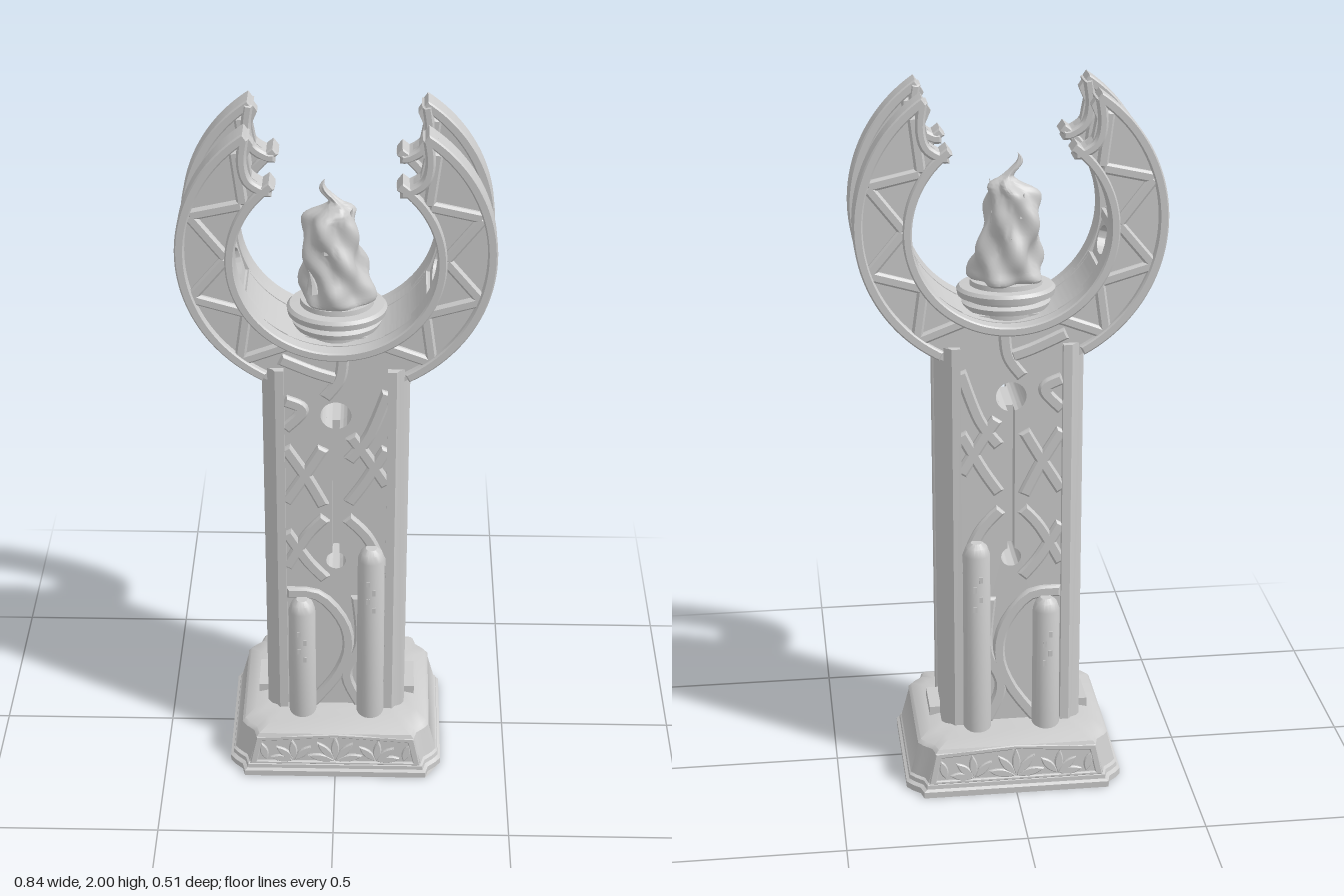
import * as THREE from 'three';
import { toCreasedNormals, mergeVertices } from 'three/addons/utils/BufferGeometryUtils.js';

const grey = new THREE.MeshStandardMaterial({ color: 0xcccccc, side: THREE.DoubleSide });
const rad = THREE.MathUtils.degToRad;
const V2 = (x, y) => new THREE.Vector2(x, y);

function add(parent, name, geo, x = 0, y = 0, z = 0) {
  const m = new THREE.Mesh(toCreasedNormals(geo, 0.6), grey);
  m.name = name;
  m.position.set(x, y, z);
  parent.add(m);
  return m;
}
const box = (parent, name, w, h, d, x, y, z) => add(parent, name, new THREE.BoxGeometry(w, h, d), x, y, z);

function slab(parent, name, shape, z0, z1, bevel = 0) {
  const geo = new THREE.ExtrudeGeometry(shape, {
    depth: z1 - z0 - bevel, curveSegments: 40, bevelEnabled: bevel > 0,
    bevelSize: bevel, bevelThickness: bevel, bevelOffset: -bevel, bevelSegments: 1,
  });
  return add(parent, name, geo, 0, 0, z0);
}

// Flat raised strip following a few points
function ribbon(parent, name, pts, width, z0, z1) {
  const p = pts.map(([x, y]) => V2(x, y));
  const path = p.length > 2 ? new THREE.SplineCurve(p).getPoints(16) : p;
  const left = [], right = [];
  path.forEach((q, i) => {
    const t = path[Math.min(i + 1, path.length - 1)].clone().sub(path[Math.max(i - 1, 0)]).normalize();
    const n = V2(-t.y, t.x).multiplyScalar(width / 2);
    left.push(q.clone().add(n));
    right.push(q.clone().sub(n));
  });
  return slab(parent, name, new THREE.Shape([...left, ...right.reverse()]), z0, z1, 0.006);
}

// Arc-shaped band between two radii, angles in degrees
function arcBand(cy, r0, r1, a0, a1) {
  const s = new THREE.Shape();
  s.absarc(0, cy, r1, rad(a0), rad(a1), false);
  s.absarc(0, cy, r0, rad(a1), rad(a0), true);
  return s;
}
const circleHole = (y, r) => new THREE.Path().absarc(0, y, r, 0, Math.PI * 2, true);

// Plinth built from stacked outlines with notched corners: [y, halfX, halfZ]
function plinthGeometry(levels) {
  const pos = [], index = [];
  const corner = (hx, hz) => [[hx, hz - 0.07], [hx - 0.015, hz - 0.05], [hx - 0.037, hz - 0.03], [hx - 0.045, hz]];
  levels.forEach(([y, hx, hz]) => {
    const c = corner(hx, hz), r = [...c].reverse();
    [...c, ...r.map(([x, z]) => [-x, z]), ...c.map(([x, z]) => [-x, -z]), ...r.map(([x, z]) => [x, -z])]
      .forEach(([x, z]) => pos.push(x, y, z));
  });
  const n = 16;
  for (let l = 0; l < levels.length - 1; l++) for (let i = 0; i < n; i++) {
    const a = l * n + i, b = l * n + (i + 1) % n;
    index.push(a, a + n, b, b, a + n, b + n);
  }
  const top = (levels.length - 1) * n;
  for (let i = 1; i < n - 1; i++) index.push(0, i, i + 1, top, top + i + 1, top + i);
  const g = new THREE.BufferGeometry();
  g.setAttribute('position', new THREE.Float32BufferAttribute(pos, 3));
  g.setIndex(index);
  return g;
}

// Carved face: panel, frame, ring plate, candles and plinth leaves
function buildFace() {
  const f = new THREE.Group();

  const panel = new THREE.Shape([V2(-0.16, 0.12), V2(0.16, 0.12), V2(0.16, 1.3), V2(-0.16, 1.3)]);
  const slot = new THREE.Path();
  slot.absarc(0, 1.16, 0.042, rad(-76), rad(256), false);
  slot.absarc(0, 0.68, 0.028, rad(111), rad(429), false);
  panel.holes.push(slot);
  slab(f, 'pillarPanel', panel, 0.07, 0.118);
  // Corner posts with a chamfered outer edge, extruded upwards
  for (const s of [-1, 1]) {
    const profile = [[0.14, 0.06], [0.14, 0.14], [0.164, 0.14], [0.172, 0.128], [0.19, 0.118], [0.2, 0.104], [0.2, 0.062], [0.186, 0.055]];
    const post = new THREE.ExtrudeGeometry(new THREE.Shape(profile.map(([x, z]) => V2(s * x, -z))), { depth: 1.19, bevelEnabled: false });
    add(f, 'cornerPost', post.rotateX(-Math.PI / 2), 0, 0.12, 0);
  }

  // Interlaced strips on the panel
  const strips = [
    [[0.02, 1.36], [0.01, 1.28], [-0.03, 1.22]], [[-0.15, 1.34], [-0.06, 1.3], [0.0, 1.28]],
    [[-0.14, 1.21], [-0.09, 1.18], [-0.14, 1.12]], [[0.14, 1.24], [0.09, 1.1], [0.035, 1.02]],
    [[0.04, 1.1], [0.08, 1.04], [0.14, 0.94]], [[-0.035, 1.06], [-0.08, 0.98], [-0.14, 0.88]],
    [[-0.14, 1.06], [-0.08, 0.96], [-0.035, 0.87]], [[0.14, 1.06], [0.08, 0.95], [0.035, 0.88]],
    [[-0.03, 0.83], [-0.08, 0.77], [-0.14, 0.66]], [[0.03, 0.83], [0.09, 0.76], [0.14, 0.64]],
    [[-0.14, 0.78], [-0.08, 0.68], [-0.03, 0.62]],
    [[-0.14, 0.57], [-0.05, 0.56], [0.02, 0.47], [0.035, 0.37], [0, 0.27], [-0.07, 0.17]],
    [[0.06, 0.56], [0.07, 0.4], [0.03, 0.28], [0.07, 0.17]],
  ];
  strips.forEach((p) => ribbon(f, 'panelStrip', p, 0.034, 0.11, 0.132));

  // Open ring plate with broken tips, carved on both sides
  const tip = [[0.21, 1.96], [0.225, 1.925], [0.215, 1.87], [0.185, 1.845], [0.155, 1.845]];
  const ring = new THREE.Shape();
  ring.absarc(0, 1.65, 0.42, rad(124), rad(416), false);
  tip.forEach(([x, y]) => ring.lineTo(x, y));
  ring.absarc(0, 1.63, 0.265, rad(54), rad(-234), true);
  [...tip].reverse().forEach(([x, y]) => ring.lineTo(-x, y));
  slab(f, 'ringPlate', ring, 0.088, 0.121);
  slab(f, 'innerRim', arcBand(1.63, 0.265, 0.29, 126, 414), 0.075, 0.14, 0.004);
  for (const s of [-1, 1]) {
    const mx = (pts) => pts.map(([x, y]) => [s * x, y]);
    const arm = s > 0 ? [-62, 56] : [124, 242];
    slab(f, 'outerRim', arcBand(1.65, 0.394, 0.42, ...arm), 0.075, 0.14, 0.004);
    slab(f, 'lowerFlank', arcBand(1.645, 0.275, 0.412, ...(s > 0 ? [-62, -31] : [211, 242])), 0.058, 0.1);
    ribbon(f, 'tipEdge', mx([[0.232, 1.985], [0.24, 1.92], [0.228, 1.865], [0.19, 1.837], [0.165, 1.835]]), 0.026, 0.074, 0.14);
    const zig = [50, 33, 18, 0, -17, -34, -50, -64].map((a, i) => {
      const r = i % 2 ? 0.285 : 0.4;
      return [r * Math.cos(rad(a)), 1.64 + r * Math.sin(rad(a))];
    });
    for (let i = 0; i < zig.length - 1; i++)
      ribbon(f, 'ringBrace', mx([zig[i], zig[i + 1]]), 0.03, 0.082, 0.134);
  }

  // Candles against the panel
  for (const [x, top] of [[-0.097, 0.56], [0.1, 0.74]]) {
    const prof = [[0.04, 0.13], [0.038, top - 0.035], [0.03, top - 0.012], [0.016, top], [0, top]];
    add(f, 'candle', new THREE.LatheGeometry(prof.map(([r, y]) => V2(r, y)), 20), x, 0, 0.141);
    for (let i = 0; i < 4; i++)
      box(f, 'candleMark', 0.01, 0.018, 0.005, x + 0.008 * (i % 2 ? 1 : -1), top - 0.1 - i * 0.03, 0.178);
  }

  // Sloped leaf panel on the plinth
  const leafPanel = new THREE.Group();
  leafPanel.name = 'leafPanel';
  leafPanel.position.set(0, 0.036, 0.238);
  leafPanel.rotation.x = -0.07;
  const frame = new THREE.Shape([V2(-0.25, 0), V2(0.25, 0), V2(0.23, 0.095), V2(0, 0.108), V2(-0.23, 0.095)]);
  frame.holes.push(new THREE.Path([V2(-0.228, 0.01), V2(-0.212, 0.08), V2(0, 0.095), V2(0.212, 0.08), V2(0.228, 0.01)]));
  slab(leafPanel, 'leafFrame', frame, 0, 0.01, 0.003);
  const leaf = (x, y, a, len) => {
    const s = new THREE.Shape();
    s.quadraticCurveTo(len * 0.5, 0.024, len, 0);
    s.quadraticCurveTo(len * 0.5, -0.024, 0, 0);
    const m = slab(leafPanel, 'leaf', s, 0, 0.01, 0.003);
    m.position.set(x, y, 0);
    m.rotation.z = rad(a);
  };
  for (const a of [12, 50, 90, 130, 168]) leaf(0, 0.014, a, 0.082);
  for (const s of [-1, 1]) {
    const turn = (a) => (s > 0 ? a : 180 - a);
    for (const a of [8, 42, 85, 135]) leaf(s * 0.12, 0.014, turn(a), 0.07);
    leaf(s * 0.2, 0.014, turn(75), 0.06);
  }
  f.add(leafPanel);
  return f;
}

function buildFlame() {
  const flame = new THREE.Group();
  flame.name = 'flame';
  const prof = [[0, 1.45], [0.085, 1.46], [0.09, 1.5], [0.083, 1.55], [0.076, 1.61], [0.07, 1.67], [0.06, 1.71], [0.034, 1.735], [0.016, 1.75], [0.011, 1.78], [0, 1.812]];
  const curve = new THREE.SplineCurve(prof.map(([r, y]) => V2(r, y))).getPoints(48);
  const geo = new THREE.LatheGeometry(curve.map((p) => V2(Math.max(p.x, 0), p.y)), 48);
  const p = geo.attributes.position;
  // Twisting folds, a slight lean and a curling tip
  for (let i = 0; i < p.count; i++) {
    const x = p.getX(i), y = p.getY(i), z = p.getZ(i), a = Math.atan2(z, x);
    const k = 1 + 0.11 * Math.sin(4 * a + y * 30) + 0.09 * Math.sin(5 * a - y * 42);
    const lean = -0.018 * THREE.MathUtils.smoothstep(y, 1.5, 1.65);
    const curl = 0.02 * THREE.MathUtils.smoothstep(y, 1.69, 1.74) * Math.sin((y - 1.7) * 50);
    p.setXYZ(i, x * k + lean + curl, y, z * k * 0.92);
  }
  geo.deleteAttribute('uv');
  geo.deleteAttribute('normal');
  add(flame, 'flameBody', mergeVertices(geo, 1e-4));
  // Small licking tongues winding upwards
  for (let i = 0; i < 9; i++) {
    const a = i * 2.4, y = 1.51 + i * 0.024, r = 0.07 - i * 0.003;
    const cone = new THREE.ConeGeometry(0.02, 0.07, 8, 5);
    const q = cone.attributes.position;
    for (let j = 0; j < q.count; j++) {
      const h = q.getY(j) + 0.035;
      q.setX(j, q.getX(j) + h * h * 3);
    }
    const m = add(flame, 'flameTongue', cone, Math.cos(a) * r - 0.014, y, Math.sin(a) * r * 0.9);
    m.rotation.y = -a;
  }
  return flame;
}

export function createModel() {
  const model = new THREE.Group();
  model.name = 'flameMonument';

  add(model, 'plinth', plinthGeometry([
    [0, 0.31, 0.257], [0.018, 0.31, 0.257], [0.024, 0.302, 0.25], [0.036, 0.3, 0.249],
    [0.04, 0.296, 0.24], [0.13, 0.273, 0.234], [0.133, 0.274, 0.241], [0.143, 0.266, 0.236], [0.156, 0.235, 0.2], [0.165, 0.2, 0.15],
  ]));

  // Pillar core with the through holes
  const core = new THREE.Shape([V2(-0.182, 0.1), V2(0.182, 0.1), V2(0.182, 1.38), V2(-0.182, 1.38)]);
  core.holes.push(circleHole(1.16, 0.042), circleHole(0.68, 0.028));
  slab(model, 'pillarCore', core, -0.073, 0.073);
  slab(model, 'ringSaddle', arcBand(1.64, 0.273, 0.3, 209, 331), -0.1, 0.1);

  for (const s of [-1, 1]) {
    box(model, 'sideRib', 0.03, 1.29, 0.08, s * 0.182, 0.765, 0);
    box(model, 'sideRibFoot', 0.05, 0.04, 0.12, s * 0.205, 0.165, 0);
    box(model, 'ringCrossbar', 0.14, 0.028, 0.2, s * 0.342, 1.616, 0);
    // Ledge below the opening
    const ledge = new THREE.Shape([V2(s * 0.2, 1.437), V2(s * 0.345, 1.437), V2(s * 0.382, 1.505), V2(s * 0.242, 1.505)]);
    slab(model, 'ringLedge', ledge, -0.1, 0.1);
    // Ring wall pierced by an oval opening
    const wall = new THREE.Shape([V2(-0.1, -0.075), V2(0.1, -0.075), V2(0.1, 0.075), V2(-0.1, 0.075)]);
    wall.holes.push(new THREE.Path().absellipse(0, 0, 0.06, 0.038, 0, Math.PI * 2, true));
    const pivot = new THREE.Group();
    pivot.name = 'ringWall';
    pivot.position.set(s * 0.264, 1.56, 0);
    pivot.rotation.z = s * rad(-15);
    const m = slab(pivot, 'piercedWall', wall, 0, 0.022);
    m.rotation.y = s * Math.PI / 2;
    model.add(pivot);
  }

  const front = buildFace();
  front.name = 'frontFace';
  const back = front.clone();
  back.name = 'backFace';
  back.scale.z = -1;
  model.add(front, back);

  // Stepped bowl under the flame
  const bowl = [[0, 1.34], [0.1, 1.34], [0.1, 1.38], [0.118, 1.385], [0.122, 1.4], [0.108, 1.408], [0.11, 1.415], [0.133, 1.42], [0.136, 1.437], [0.128, 1.446], [0.1, 1.448], [0.098, 1.462], [0, 1.465]];
  const dish = add(model, 'bowl', new THREE.LatheGeometry(bowl.map(([r, y]) => V2(r, y)), 40));
  dish.scale.z = 0.86;

  model.add(buildFlame());
  return model;
}
